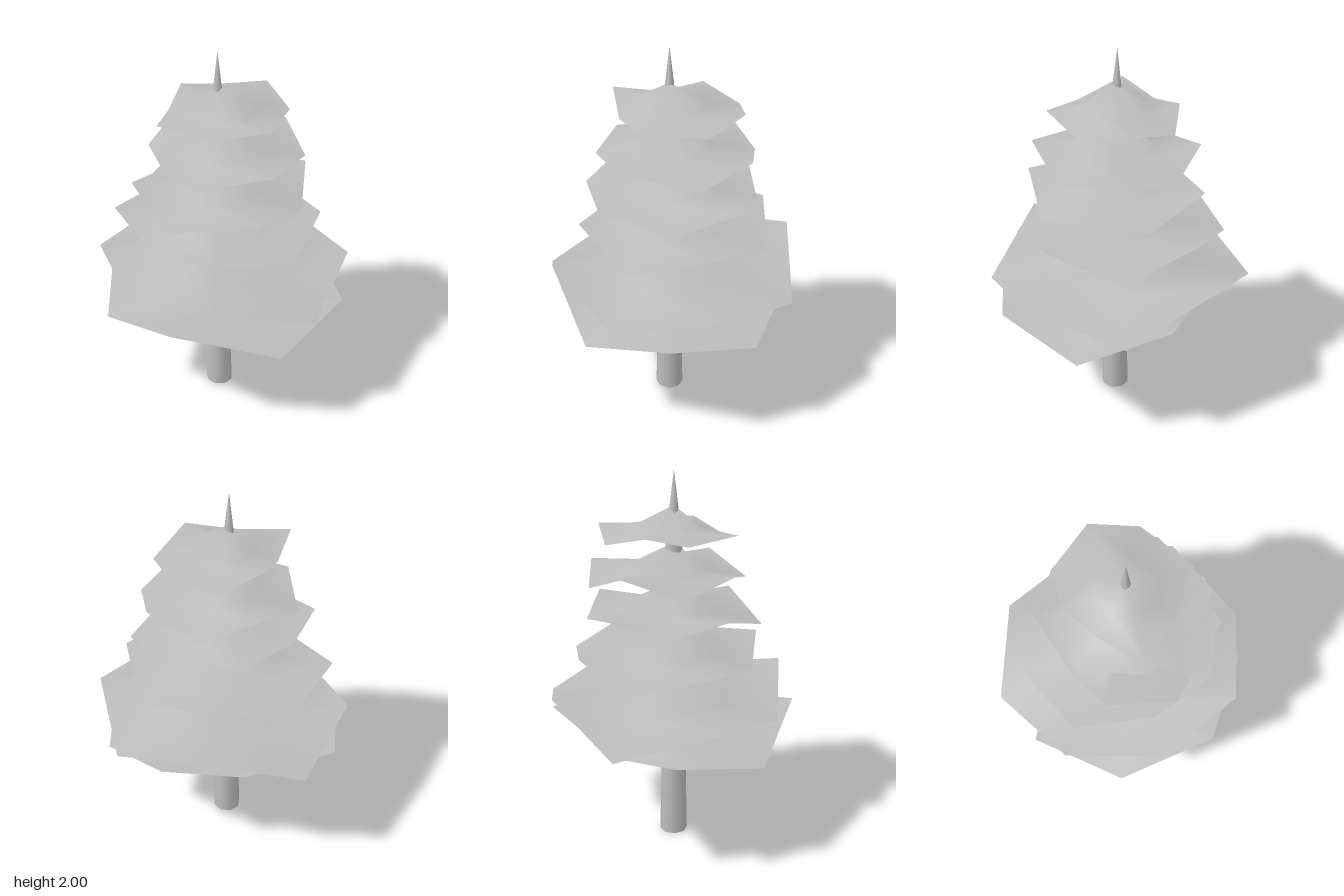
import * as THREE from 'three';

const grey = new THREE.MeshStandardMaterial({ color: 0xbcbcbc, side: THREE.DoubleSide });
grey.name = 'plain grey';

// Each tier: apex height, then eight rim corners [x, y, z] running counter-clockwise from above.
const tiers = [
  { apex: 0.89, rim: [[0.66, 0.70, -0.04], [0.45, 0.59, -0.46], [0.01, 0.75, -0.64], [-0.29, 0.58, -0.32],
    [-0.665, 0.70, -0.05], [-0.48, 0.59, 0.41], [-0.02, 0.76, 0.635], [0.48, 0.59, 0.40]] },
  { apex: 1.06, rim: [[0.62, 0.85, -0.26], [0.27, 0.74, -0.64], [-0.27, 0.91, -0.63], [-0.635, 0.73, -0.345],
    [-0.635, 0.85, 0.16], [-0.27, 0.75, 0.51], [0.19, 0.91, 0.595], [0.60, 0.74, 0.25]] },
  { apex: 1.25, rim: [[0.47, 1.10, -0.21], [0.21, 1.01, -0.505], [-0.22, 1.10, -0.49], [-0.50, 1.01, -0.285],
    [-0.54, 1.10, 0.145], [-0.20, 1.01, 0.38], [0.13, 1.10, 0.455], [0.46, 1.01, 0.20]] },
  { apex: 1.43, rim: [[0.42, 1.20, -0.03], [0.33, 1.29, -0.37], [0.04, 1.22, -0.445], [-0.30, 1.33, -0.39],
    [-0.385, 1.26, 0.0], [-0.39, 1.33, 0.23], [-0.11, 1.22, 0.44], [0.325, 1.29, 0.33]] },
  { apex: 1.63, rim: [[0.385, 1.435, -0.17], [0.20, 1.50, -0.41], [-0.10, 1.43, -0.43], [-0.335, 1.54, -0.28],
    [-0.39, 1.44, 0.02], [-0.21, 1.50, 0.28], [0.0, 1.44, 0.37], [0.345, 1.50, 0.225]] },
  { apex: 1.82, rim: [[0.285, 1.66, -0.20], [0.105, 1.71, -0.37], [-0.145, 1.66, -0.345], [-0.28, 1.72, -0.16],
    [-0.26, 1.67, 0.05], [-0.21, 1.71, 0.295], [0.07, 1.66, 0.24], [0.30, 1.69, 0.13]] },
];

// A smooth, open skirt: steep from the apex to a middle ring, then nearly level to a zigzag rim.
function makeTier({ apex, rim }) {
  const count = rim.length;
  const meanY = rim.reduce((sum, corner) => sum + corner[1], 0) / count;
  const ring = rim.map(([x, y, z]) => [x * 0.5, meanY + 0.02 + 0.3 * (y - meanY), z * 0.5]);
  const points = [[-0.01, apex, 0], ...ring, ...rim];
  const faces = [];
  for (let i = 0; i < count; i++) {
    const a = 1 + i;
    const b = 1 + (i + 1) % count;
    faces.push(0, a, b, a, a + count, b + count, a, b + count, b);
  }
  const geometry = new THREE.BufferGeometry();
  geometry.setAttribute('position', new THREE.Float32BufferAttribute(points.flat(), 3));
  geometry.setIndex(faces);
  geometry.computeVertexNormals();
  return new THREE.Mesh(geometry, grey);
}

export function createModel() {
  const tree = new THREE.Group();
  tree.name = 'pineTree';

  // Eight-sided trunk that tapers to the pointed top, leaning very slightly
  const profile = [[0.074, 0], [0.058, 0.74], [0.045, 1.5], [0.041, 1.66], [0.026, 1.78], [0, 2]]
    .map(([r, y]) => new THREE.Vector2(r, y));
  const trunkGeometry = new THREE.LatheGeometry(profile, 8);
  const position = trunkGeometry.attributes.position;
  for (let i = 0; i < position.count; i++) {
    position.setX(i, position.getX(i) - 0.01 - 0.005 * position.getY(i));
  }
  const trunk = new THREE.Mesh(trunkGeometry, grey);
  trunk.name = 'trunk';
  tree.add(trunk);

  // Underside of the trunk
  const base = new THREE.Mesh(new THREE.CircleGeometry(0.074, 8), grey);
  base.name = 'trunkBase';
  base.rotation.x = Math.PI / 2;
  base.position.x = -0.01;
  tree.add(base);

  // Branch tiers, bottom to top
  tiers.forEach((tier, i) => {
    const mesh = makeTier(tier);
    mesh.name = `branchTier${i + 1}`;
    tree.add(mesh);
  });

  return tree;
}
